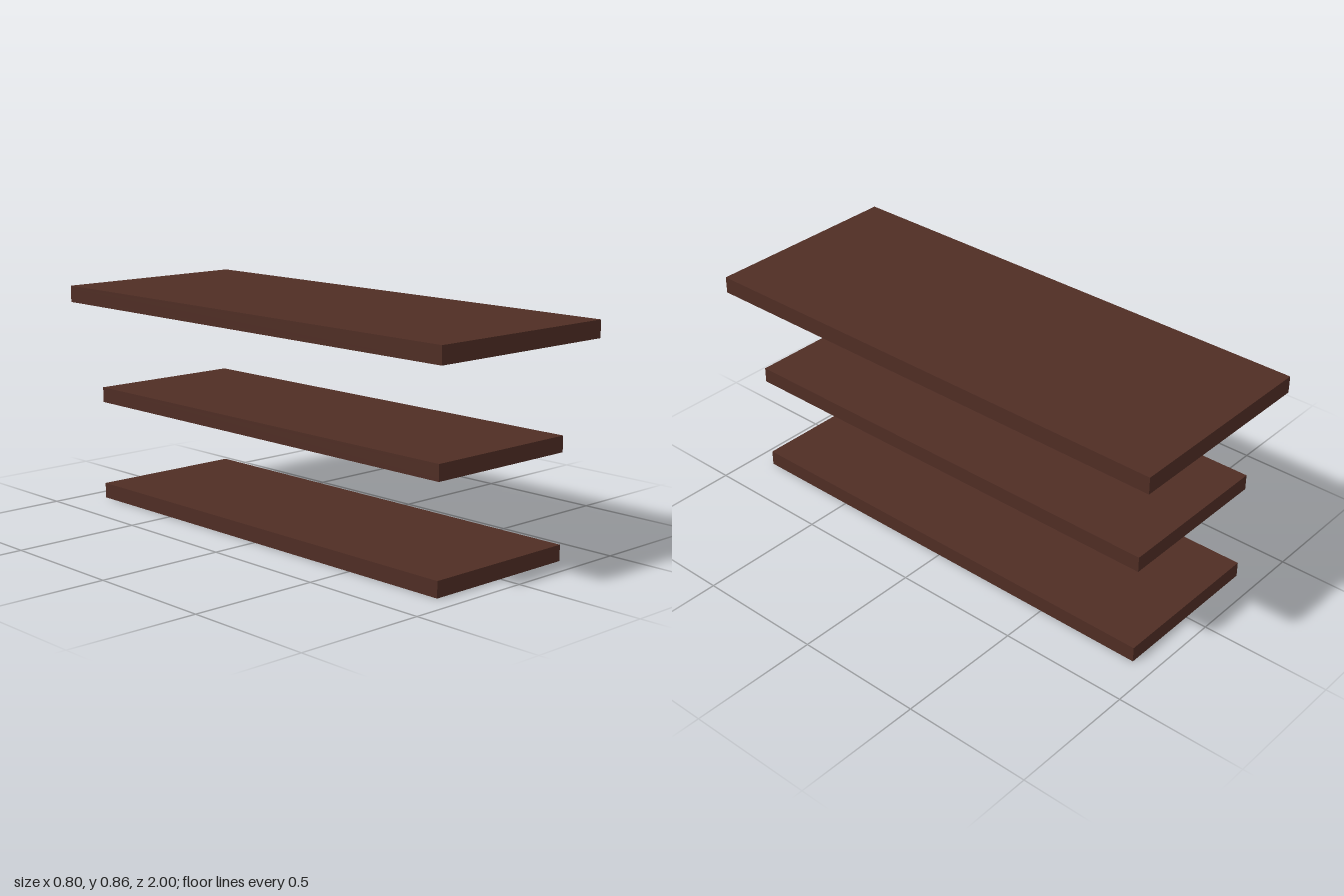
import * as THREE from 'three';

const wood = new THREE.MeshStandardMaterial({ color: 0x4f2d24 });
wood.name = 'dark brown wood';

// Add a rectangle, given by its x and z limits, to a shape or path
function rect(path, x0, x1, z0, z1) {
  path.moveTo(x0, z0);
  path.lineTo(x1, z0);
  path.lineTo(x1, z1);
  path.lineTo(x0, z1);
  path.closePath();
  return path;
}

// Horizontal layer with rectangular openings, from y0 up to y1
function layer(name, halfX, halfZ, y0, y1, holes = []) {
  const shape = rect(new THREE.Shape(), -halfX, halfX, -halfZ, halfZ);
  for (const h of holes) shape.holes.push(rect(new THREE.Path(), ...h));
  const geo = new THREE.ExtrudeGeometry(shape, { depth: y1 - y0, bevelEnabled: false });
  geo.rotateX(-Math.PI / 2);
  geo.translate(0, y0, 0);
  const mesh = new THREE.Mesh(geo, wood);
  mesh.name = name;
  return mesh;
}

// Board with a framed underside: two shallow panels, the left one optionally a deep bay
function board(name, halfX, halfZ, y0, y1, deepBay) {
  const group = new THREE.Group();
  group.name = name;
  const rim = 0.055, rib = 0.037, step = 0.011, skin = 0.01;
  const x = halfX - rim, z = halfZ - rim;
  const left = [rib, x, -z, z], right = [-x, -rib, -z, z];
  group.add(
    layer('undersideFrame', halfX, halfZ, y0, y0 + step, [left, right]),
    layer('boardCore', halfX, halfZ, y0 + step, y1 - skin, deepBay ? [left] : []),
    layer('boardTop', halfX, halfZ, y1 - skin, y1),
  );
  return group;
}

export function createModel() {
  const model = new THREE.Group();
  model.name = 'shelfBoards';
  model.add(
    board('lowerShelf', 0.317, 0.917, 0, 0.06, false),
    board('middleShelf', 0.317, 0.917, 0.395, 0.455, false),
    board('topBoard', 0.401, 1, 0.799, 0.864, true),
  );
  return model;
}
